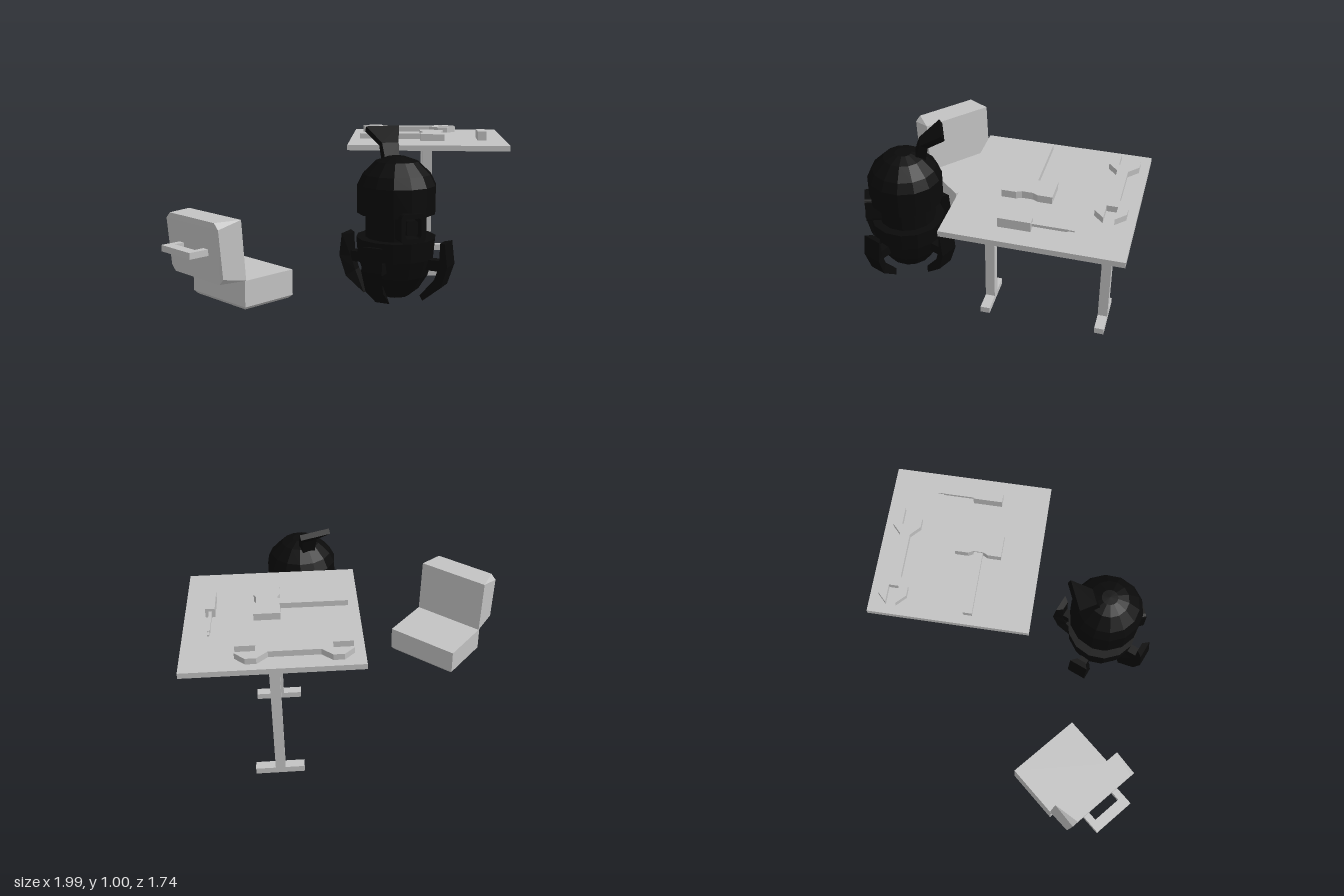
import * as THREE from 'three';
import { ConvexGeometry } from 'three/addons/geometries/ConvexGeometry.js';

const grey = new THREE.MeshStandardMaterial({ color: 0xc2c2c2 });
grey.name = 'light grey';
const black = new THREE.MeshStandardMaterial({ color: 0x0a0a0a, flatShading: true });
black.name = 'black';

function add(parent, name, geometry, material, x = 0, y = 0, z = 0) {
  const mesh = new THREE.Mesh(geometry, material);
  mesh.name = name;
  mesh.position.set(x, y, z);
  parent.add(mesh);
  return mesh;
}

// Box given by its minimum and maximum corners
function box(parent, name, material, a, b) {
  const size = b.map((v, i) => v - a[i]);
  const mid = b.map((v, i) => (v + a[i]) / 2);
  return add(parent, name, new THREE.BoxGeometry(...size), material, ...mid);
}

const hull = (points) => new ConvexGeometry(points.map((p) => new THREE.Vector3(...p)));

// Flat plate from an [x, z] outline, lying at height y
function plate(parent, name, outline, y, height) {
  const shape = new THREE.Shape(outline.map(([x, z]) => new THREE.Vector2(x, -z)));
  const geometry = new THREE.ExtrudeGeometry(shape, { depth: height, bevelEnabled: false });
  return add(parent, name, geometry.rotateX(-Math.PI / 2), grey, 0, y, 0);
}

function createTable() {
  const table = new THREE.Group();
  table.name = 'table';
  box(table, 'tableTop', grey, [0.02, 0.835, -0.86], [1, 0.868, 0.11]);
  for (const z of [-0.03, -0.714]) {
    box(table, 'tableLeg', grey, [0.48, 0.065, z - 0.028], [0.537, 0.82, z + 0.028]);
    box(table, 'tableFoot', grey, [0.37, 0.028, z - 0.028], [0.65, 0.066, z + 0.028]);
  }
  return table;
}

function createTools() {
  const tools = new THREE.Group();
  tools.name = 'tools';
  const y = 0.868;

  // Double-ended wrench: one quarter outline mirrored around its middle
  const quarter = [[0.033, 0.032], [0.14, 0.03], [0.2, 0.085], [0.26, 0.085], [0.317, 0.03], [0.205, 0.03]];
  quarter.shift();
  const reversed = [...quarter].reverse();
  const wrench = [
    ...quarter,
    ...reversed.map(([x, z]) => [x, -z]),
    ...quarter.map(([x, z]) => [-x, -z]),
    ...reversed.map(([x, z]) => [-x, z]),
  ].map(([x, z]) => [0.395 + x, -0.725 + z]);
  plate(tools, 'wrench', wrench, y, 0.036);

  // Hammer with a waisted head
  box(tools, 'hammerHandle', grey, [0.08, y, -0.292], [0.49, y + 0.034, -0.238]);
  const right = [[0.075, -0.14], [0.075, -0.06], [0.06, -0.03], [0.06, 0.03], [0.075, 0.06], [0.075, 0.14]];
  const left = right.map(([x, z]) => [-x, -z]);
  plate(tools, 'hammerHead', [...right, ...left].map(([x, z]) => [0.54 + x, -0.265 + z]), y, 0.043);

  // Screwdriver
  box(tools, 'screwdriverHandle', grey, [0.828, y, -0.352], [0.882, 0.924, -0.175]);
  box(tools, 'screwdriverShaft', grey, [0.845, 0.89, -0.54], [0.862, 0.906, -0.35]);
  box(tools, 'screwdriverTip', grey, [0.848, 0.894, -0.575], [0.859, 0.902, -0.54]);
  return tools;
}

function createChair() {
  const chair = new THREE.Group();
  chair.name = 'chair';
  const w = 0.49;

  // Seat block, chamfered along the bottom
  const seat = [];
  for (const z of [0, 0.353]) {
    const inset = z === 0 ? 0.015 : -0.015;
    for (const x of [0, w]) seat.push([x, 0.175, z], [x, 0.022, z]);
    for (const x of [0.02, w - 0.02]) seat.push([x, 0.003, z + inset]);
  }
  add(chair, 'seat', hull(seat), grey);

  // Backrest leaning away, corners cut on the rear face
  const back = [];
  const lean = (y) => (y - 0.175) * 0.075;
  for (const y of [0.175, 0.525]) {
    const dir = y < 0.3 ? 1 : -1;
    for (const x of [0, w]) {
      const side = x === 0 ? 1 : -1;
      back.push([x, y, 0.343 + lean(y)]);
      back.push([x, y + dir * 0.035, 0.5 + lean(y)]);
      back.push([x + side * 0.035, y, 0.5 + lean(y)]);
    }
  }
  add(chair, 'backrest', hull(back), grey);

  // Grab handle behind the backrest
  for (const x of [0.108, 0.337]) {
    box(chair, 'handleArm', grey, [x, 0.328, 0.5], [x + 0.042, 0.365, 0.575]);
  }
  box(chair, 'handleBar', grey, [0.108, 0.328, 0.574], [0.379, 0.365, 0.637]);

  chair.position.set(-0.647, 0, 0.128);
  chair.rotation.y = -0.717;
  return chair;
}

function createRobot() {
  const robot = new THREE.Group();
  robot.name = 'robot';
  const lathe = (name, profile) => add(robot, name,
    new THREE.LatheGeometry(profile.map(([r, y]) => new THREE.Vector2(r, y)), 14), black);
  lathe('lowerBody', [[0, 0.065], [0.075, 0.07], [0.135, 0.12], [0.185, 0.2], [0.215, 0.3], [0.225, 0.41], [0, 0.41]]);
  lathe('waist', [[0.172, 0.4], [0.172, 0.56]]);
  lathe('dome', [[0, 0.548], [0.222, 0.548], [0.222, 0.705], [0.192, 0.765], [0.12, 0.835], [0.05, 0.86], [0, 0.862]]);

  // Eye: rounded frame around a raised lens
  const rounded = (Type, x, y, r) => {
    const s = new Type();
    s.absarc(x - r, y - r, r, 0, Math.PI / 2);
    s.absarc(r - x, y - r, r, Math.PI / 2, Math.PI);
    s.absarc(r - x, r - y, r, Math.PI, Math.PI * 1.5);
    s.absarc(x - r, r - y, r, Math.PI * 1.5, Math.PI * 2);
    return s;
  };
  const frame = rounded(THREE.Shape, 0.07, 0.08, 0.025);
  frame.holes.push(rounded(THREE.Path, 0.045, 0.055, 0.015));
  const flat = { bevelEnabled: false, curveSegments: 2 };
  add(robot, 'eyeFrame', new THREE.ExtrudeGeometry(frame, { ...flat, depth: 0.1 }), black, 0, 0.5, 0.15);
  add(robot, 'eyeLens', new THREE.ExtrudeGeometry(rounded(THREE.Shape, 0.032, 0.04, 0.012), { ...flat, depth: 0.085 }), black, 0, 0.5, 0.15);

  // Swept-back crest: [y, z, half width] rows, two per section
  const crest = [
    [[0.8, -0.055, 0.04], [0.8, -0.125, 0.04]],
    [[0.925, -0.1, 0.05], [0.905, -0.145, 0.05]],
    [[1.008, -0.225, 0.1], [0.978, -0.242, 0.1]],
  ];
  const spread = (rows) => rows.flatMap(([y, z, h]) => [[-h, y, z], [h, y, z]]);
  for (let i = 0; i < 2; i++) {
    add(robot, 'crest', hull(spread([...crest[i], ...crest[i + 1]])), black);
  }

  // Four claw legs: rows of inner and outer edge, wider on the outside
  const leg = [
    [[0.4, 0.275, 0.03], [0.405, 0.312, 0.06]],
    [[0.27, 0.27, 0.03], [0.275, 0.328, 0.06]],
    [[0.19, 0.242, 0.026], [0.155, 0.29, 0.052]],
    [[0.088, 0.155, 0.02], [0.066, 0.18, 0.042]],
  ];
  for (let k = 0; k < 4; k++) {
    const claw = new THREE.Group();
    claw.name = 'clawLeg';
    for (let i = 0; i < 3; i++) {
      add(claw, 'clawSegment', hull(spread([...leg[i], ...leg[i + 1]])), black);
    }
    box(claw, 'clawMount', black, [-0.028, 0.24, 0.17], [0.028, 0.3, 0.29]);
    claw.rotation.y = Math.PI / 4 + (k * Math.PI) / 2;
    robot.add(claw);
  }

  robot.position.set(0.325, 0, 0.555);
  robot.rotation.y = 0.39;
  return robot;
}

export function createModel() {
  const model = new THREE.Group();
  model.name = 'workshopCorner';
  model.add(createTable(), createTools(), createChair(), createRobot());
  return model;
}
